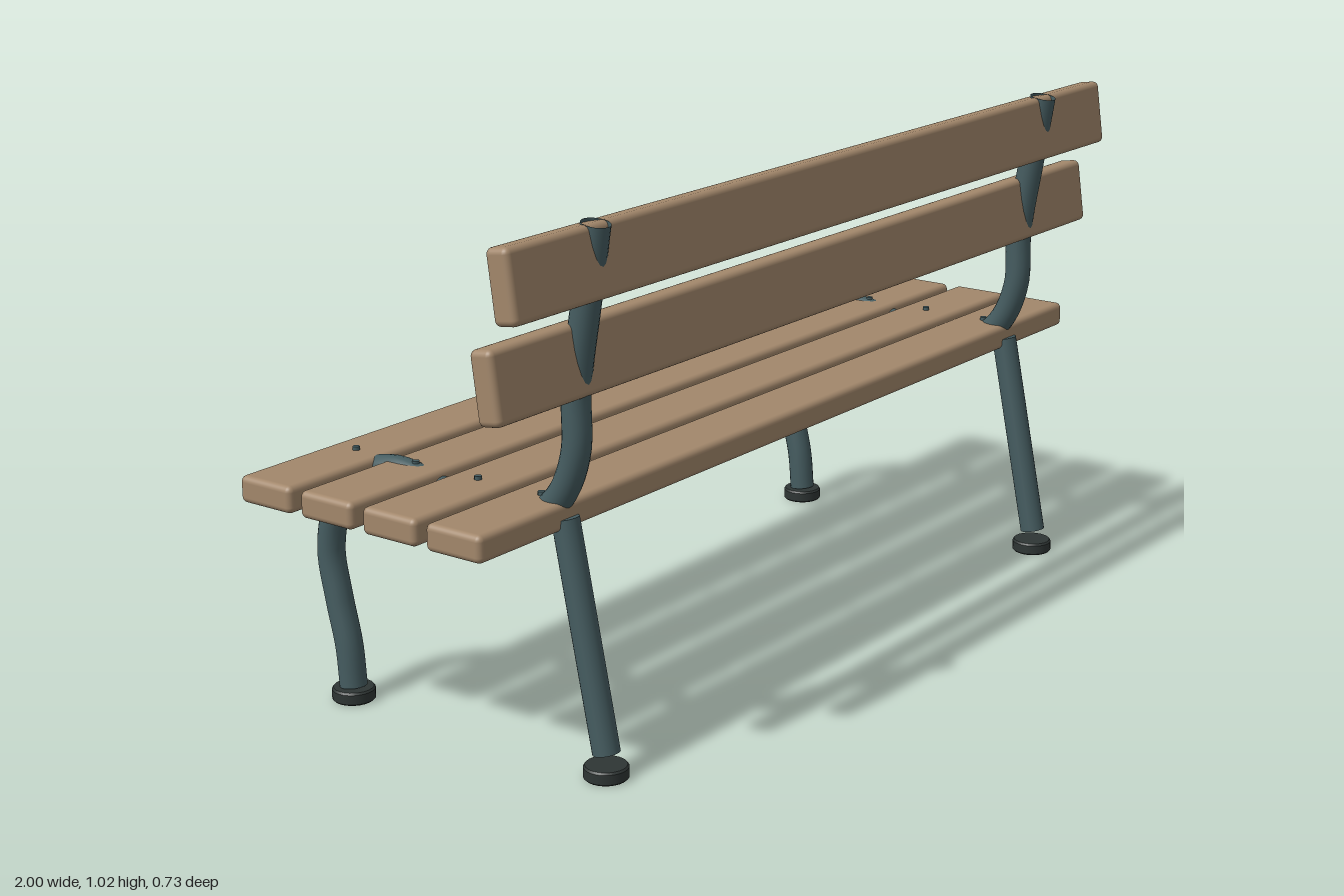
import * as THREE from 'three';
import { RoundedBoxGeometry } from 'three/addons/geometries/RoundedBoxGeometry.js';

export function createModel() {
  const bench = new THREE.Group();
  bench.name = 'bench';
  const material = (name, color) => {
    const m = new THREE.MeshStandardMaterial({ color });
    m.name = name;
    return m;
  };
  const wood = material('wood', 0xa2876b);
  const steel = material('paintedSteel', 0x455c60);
  const rubber = material('darkRubber', 0x2e3534);
  steel.side = THREE.DoubleSide;

  const add = (name, geometry, mat, x, y, z, parent = bench) => {
    const mesh = new THREE.Mesh(geometry, mat);
    mesh.name = name;
    mesh.position.set(x, y, z);
    parent.add(mesh);
    return mesh;
  };

  const frameX = 0.76;
  const boltGeometry = new THREE.CylinderGeometry(0.007, 0.007, 0.012, 10);

  // Seat slats, each bolted to both frames
  const seatGeometry = new RoundedBoxGeometry(2, 0.052, 0.127, 3, 0.012);
  for (const z of [0.187, 0.038, -0.113, -0.263]) {
    add('seatSlat', seatGeometry, wood, 0, 0.481, z);
    for (const s of [-1, 1]) add('seatBolt', boltGeometry, steel, s * frameX, 0.508, z);
  }

  // Tilted backrest slats with bolts on the sitting side
  const backGeometry = new RoundedBoxGeometry(2, 0.134, 0.05, 3, 0.012);
  for (const [y, z] of [[0.95, 0.307], [0.77, 0.267]]) {
    const slat = new THREE.Group();
    slat.name = 'backrest';
    slat.position.set(0, y, z);
    slat.rotation.x = -0.14;
    bench.add(slat);
    add('backSlat', backGeometry, wood, 0, 0, 0, slat);
    for (const s of [-1, 1]) {
      add('backBolt', boltGeometry, steel, s * frameX, 0, -0.029, slat).rotation.x = Math.PI / 2;
    }
  }

  // Bent tube: back upright, seat support and front leg in one sweep
  const path = new THREE.CatmullRomCurve3([
    [1.018, 0.318], [0.87, 0.294], [0.72, 0.27], [0.6, 0.267], [0.515, 0.232],
    [0.46, 0.168], [0.442, 0.1], [0.451, 0.01], [0.476, -0.08], [0.488, -0.16],
    [0.467, -0.24], [0.4, -0.31], [0.3, -0.338], [0.2, -0.322], [0.11, -0.301], [0.028, -0.293],
  ].map(([y, z]) => new THREE.Vector3(0, y, z)));
  const tubeGeometry = new THREE.TubeGeometry(path, 80, 0.027, 20);

  // Straight rear leg between two points
  const legTop = new THREE.Vector3(0, 0.475, 0.241);
  const legFoot = new THREE.Vector3(0, 0.048, 0.328);
  const legAxis = legTop.clone().sub(legFoot);
  const legGeometry = new THREE.CylinderGeometry(0.026, 0.026, legAxis.length(), 20);

  // Foot pad with softened rims
  const footGeometry = new THREE.LatheGeometry([
    [0, 0], [0.039, 0], [0.042, 0.003], [0.042, 0.003], [0.042, 0.022], [0.042, 0.022], [0.039, 0.026], [0.039, 0.026], [0, 0.026],
  ].map(([r, y]) => new THREE.Vector2(r, y)), 24);

  for (const s of [-1, 1]) {
    const frame = new THREE.Group();
    frame.name = s > 0 ? 'leftFrame' : 'rightFrame';
    frame.position.x = s * frameX;
    bench.add(frame);
    add('bentTube', tubeGeometry, steel, 0, 0, 0, frame);
    const mid = legTop.clone().add(legFoot).multiplyScalar(0.5);
    const leg = add('rearLeg', legGeometry, steel, 0, mid.y, mid.z, frame);
    leg.quaternion.setFromUnitVectors(new THREE.Vector3(0, 1, 0), legAxis.clone().normalize());
    for (const z of [0.327, -0.293]) add('footPad', footGeometry, rubber, 0, 0, z, frame);
  }
  return bench;
}
